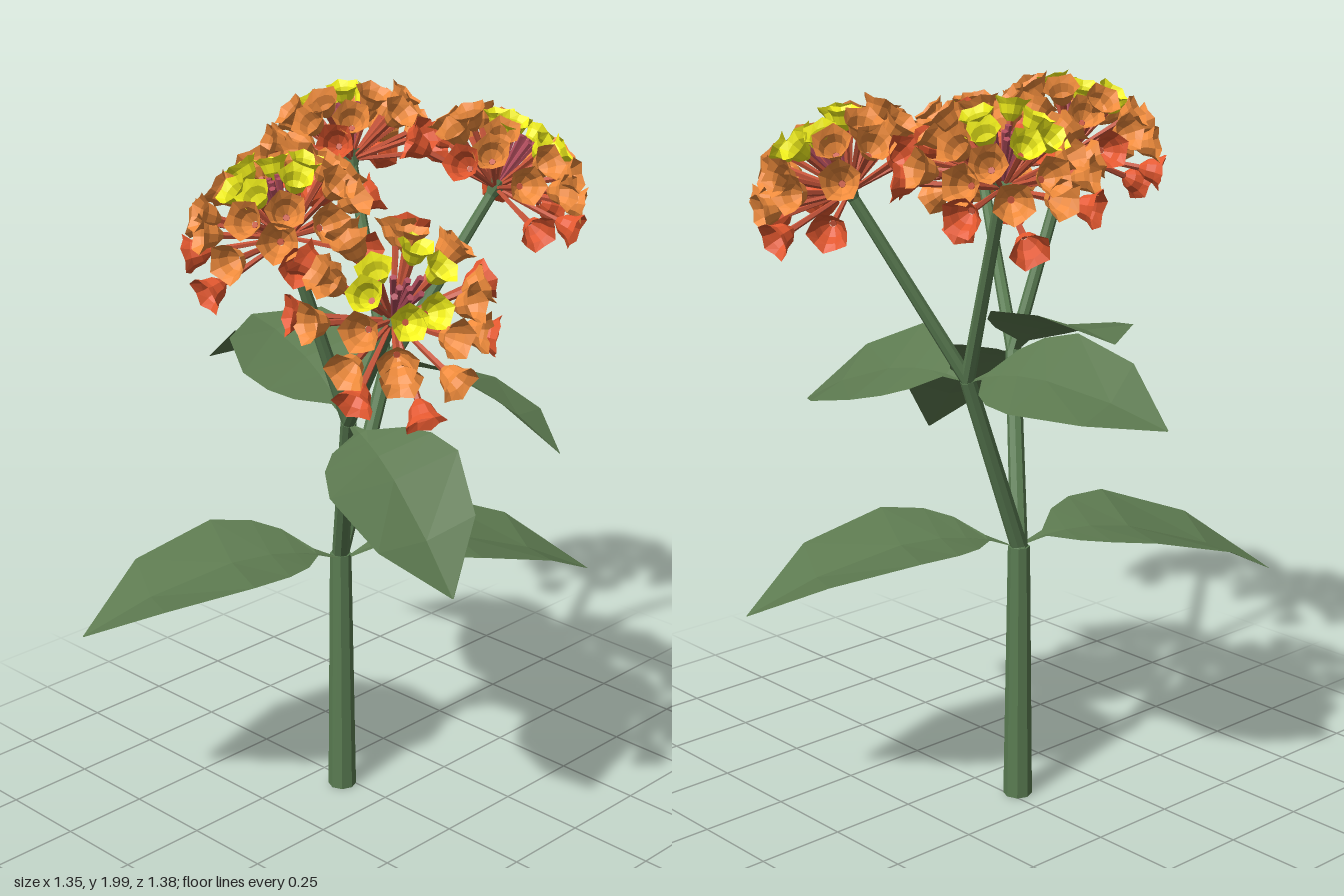
import * as THREE from 'three';
import { mergeGeometries } from 'three/addons/utils/BufferGeometryUtils.js';

const V = (x, y, z) => new THREE.Vector3(x, y, z);
const UP = V(0, 1, 0);
const mat = (color) => new THREE.MeshStandardMaterial({ color, flatShading: true, side: THREE.DoubleSide });
const stemMat = mat(0x5a7c52), leafMat = mat(0x5d7a50), budMat = mat(0xb04c5c);
const tubeMat = mat(0xc8553a), yellowMat = mat(0xf6f41c), orangeMat = mat(0xf08c3c), redMat = mat(0xe4582f);

function named(name, geometry, material) {
  const mesh = new THREE.Mesh(geometry, material);
  mesh.name = name;
  return mesh;
}

// Tapered stalk between two points
function stalk(name, a, b, r0, r1, sides = 8) {
  const dir = b.clone().sub(a);
  const mesh = named(name, new THREE.CylinderGeometry(r1, r0, dir.length(), sides), stemMat);
  mesh.position.copy(a).add(b).multiplyScalar(0.5);
  mesh.quaternion.setFromUnitVectors(UP, dir.normalize());
  return mesh;
}

// Leaf along +z: rows of [distance, midrib height, half width, edge lift]
function leafGeometry() {
  const rows = [
    [0.02, 0.0, 0.008, 0], [0.08, 0.02, 0.025, 0.005], [0.14, 0.03, 0.14, 0.015], [0.21, 0.035, 0.205, 0.02],
    [0.32, 0.025, 0.245, 0.03], [0.55, -0.045, 0.185, 0.035], [0.74, -0.137, 0.003, 0],
  ];
  const pos = [], index = [];
  rows.forEach(([d, h, w, lift], i) => {
    pos.push(-w, h + lift, d, 0, h, d, w, h + lift, d);
    if (i === 0) return;
    for (let k = 0; k < 2; k++) {
      const a = (i - 1) * 3 + k, b = a + 3;
      index.push(a, b, a + 1, b, b + 1, a + 1);
    }
  });
  const g = new THREE.BufferGeometry();
  g.setAttribute('position', new THREE.Float32BufferAttribute(pos, 3));
  g.setIndex(index);
  g.computeVertexNormals();
  return g;
}

// Opposite pair of leaves set square to the branch that carries them
function leafPair(name, node, axis, outward, size, geometry) {
  const pair = new THREE.Group();
  pair.name = name;
  const y = axis.clone().normalize();
  for (const s of [1, -1]) {
    const z = outward.clone().multiplyScalar(s);
    z.addScaledVector(y, -z.dot(y)).normalize();
    const x = y.clone().cross(z);
    const leaf = named('leaf', geometry, leafMat);
    leaf.quaternion.setFromRotationMatrix(new THREE.Matrix4().makeBasis(x, y, z));
    leaf.position.copy(node);
    leaf.scale.setScalar(size);
    pair.add(leaf);
  }
  return pair;
}

// Five-petalled bell opening along +y
function cupGeometry() {
  const profile = [[0.009, 0], [0.028, 0.02], [0.036, 0.045], [0.054, 0.066]].map(([r, y]) => new THREE.Vector2(r, y));
  const g = new THREE.LatheGeometry(profile, 10);
  const p = g.attributes.position;
  for (let i = 1; i < 10; i += 2) { // notches between the petals
    const k = i * 4 + 3;
    p.setXYZ(k, p.getX(k) * 0.87, 0.06, p.getZ(k) * 0.87);
  }
  return g;
}

// Domed flower head: hub at the origin, axis along +y
function flowerHead() {
  const head = new THREE.Group();
  const cup = cupGeometry();
  const tubes = [], buds = [];
  const place = (geometry, polar, azimuth, along) => {
    const dir = V(0, 0, 0).setFromSphericalCoords(1, polar, azimuth);
    const m = new THREE.Matrix4().makeRotationFromQuaternion(new THREE.Quaternion().setFromUnitVectors(UP, dir));
    return geometry.clone().applyMatrix4(m.setPosition(dir.multiplyScalar(along)));
  };
  // [name, material, florets, polar angle in degrees, reach of the mouth, cup scale]
  const rings = [
    ['yellowFlorets', yellowMat, 6, 28, 0.212, 0.88],
    ['innerOrangeFlorets', orangeMat, 8, 49, 0.235, 0.97],
    ['outerOrangeFlorets', orangeMat, 10, 68, 0.243, 1],
    ['redFlorets', redMat, 7, 88, 0.262, 1],
  ];
  rings.forEach(([name, material, count, polarDeg, reach, size], r) => {
    const florets = [];
    for (let i = 0; i < count; i++) {
      const wobble = Math.sin(i * 2.4 + r * 1.7);
      const polar = THREE.MathUtils.degToRad(polarDeg + wobble * (2 + r * 1.5));
      const azimuth = (i + r * 0.4 + 0.12 * Math.cos(i * 3.1 + r)) / count * Math.PI * 2;
      const base = reach + wobble * 0.01 - 0.066 * size;
      florets.push(place(cup.clone().scale(size, size, size), polar, azimuth, base));
      tubes.push(place(new THREE.CylinderGeometry(0.009, 0.005, base, 5), polar, azimuth, base / 2));
    }
    head.add(named(name, mergeGeometries(florets), material));
  });
  // Slim unopened buds in the middle
  for (let i = 0; i < 9; i++) {
    const polar = 0.06 + 0.035 * i;
    buds.push(place(new THREE.CylinderGeometry(0.009, 0.004, 0.15, 5), polar, i * 2.4, 0.085));
  }
  head.add(named('floretTubes', mergeGeometries(tubes), tubeMat));
  head.add(named('buds', mergeGeometries(buds), budMat));
  head.add(named('hub', new THREE.CylinderGeometry(0.032, 0.014, 0.05, 8), stemMat));
  return head;
}

export function createModel() {
  const plant = new THREE.Group();
  plant.name = 'floweringPlant';
  const fork = V(-0.025, 0.73, -0.15);
  plant.add(stalk('mainStem', V(-0.025, 0, -0.15), fork, 0.04, 0.03));

  const leaf = leafGeometry();
  plant.add(leafPair('lowerLeaves', V(-0.033, 0.728, -0.13), UP, V(0.885, 0, 0.466), 1, leaf));

  // Two branches, each with a leaf pair and two flower heads
  const branches = [
    { node: V(-0.18, 1.21, 0.04), outward: V(-0.32, 0, 0.95), hubs: [V(-0.37, 1.74, 0.02), V(-0.42, 1.63, 0.43)] },
    { node: V(0.17, 1.23, -0.16), outward: V(0.27, 0, 0.96), hubs: [V(0.245, 1.765, -0.37), V(0.405, 1.725, 0.02)] },
  ];
  const headModel = flowerHead();
  branches.forEach(({ node, outward, hubs }, b) => {
    const axis = node.clone().sub(fork);
    plant.add(stalk('branch', fork.clone().addScaledVector(axis, -0.03), node, 0.024, 0.021));
    plant.add(leafPair('upperLeaves', node, axis, outward, 0.76, leaf));
    hubs.forEach((hub, h) => {
      plant.add(stalk('flowerStalk', node, hub, 0.019, 0.015));
      const head = headModel.clone();
      head.name = 'flowerHead';
      head.position.copy(hub);
      head.quaternion.setFromUnitVectors(UP, hub.clone().sub(node).normalize());
      head.rotateY((b * 2 + h) * 1.3);
      plant.add(head);
    });
  });
  return plant;
}
